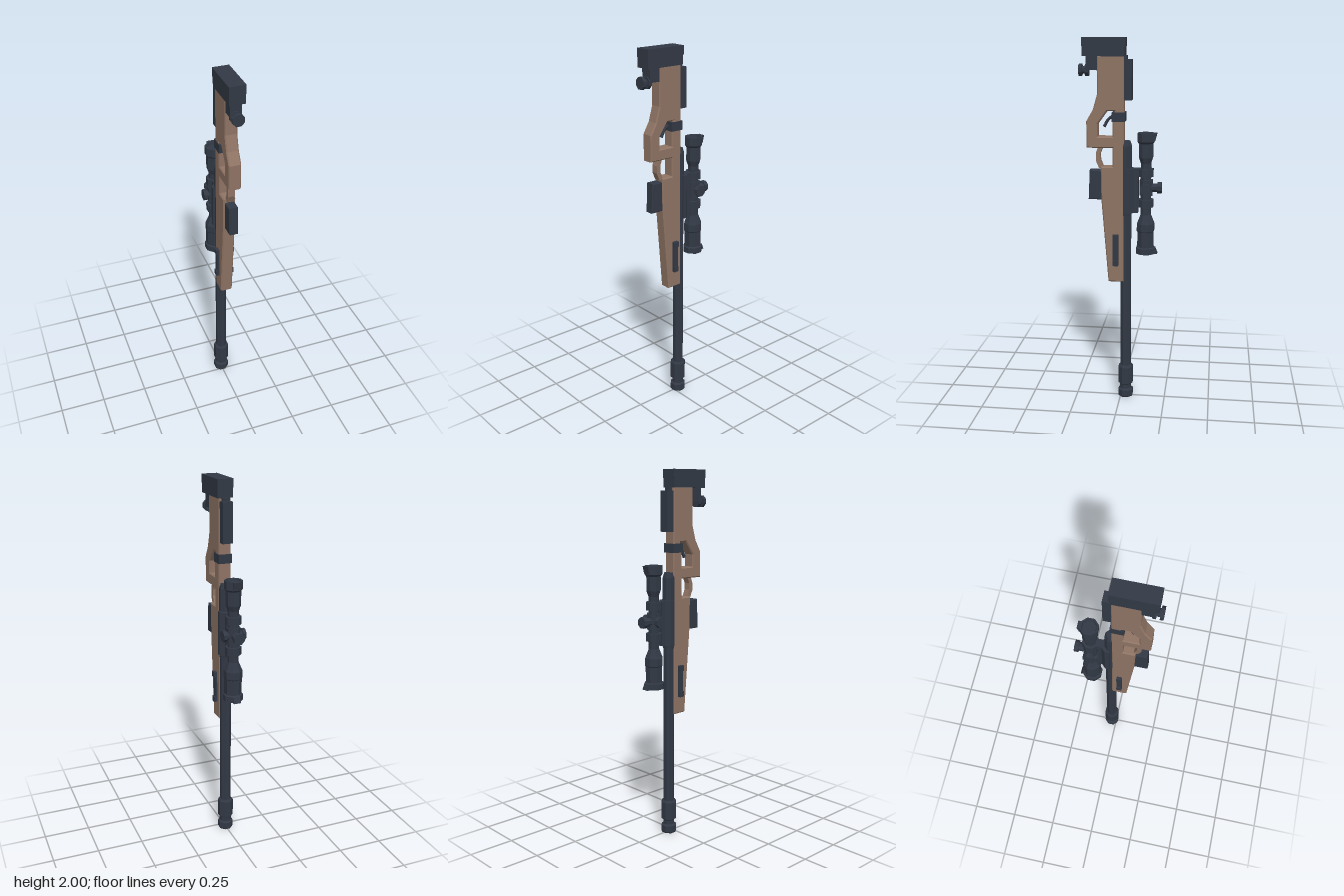
import * as THREE from 'three';

const tan = new THREE.MeshStandardMaterial({ color: 0x8f7464, flatShading: true });
tan.name = 'tan stock';
const dark = new THREE.MeshStandardMaterial({ color: 0x323945, flatShading: true });
dark.name = 'dark metal';

export function createModel() {
  const group = new THREE.Group();

  const add = (name, geo, mat = dark) => {
    const mesh = new THREE.Mesh(geo, mat);
    mesh.name = name;
    group.add(mesh);
    return mesh;
  };
  // Box given by half width and its y and z ranges
  const box = (name, hw, y0, y1, z0, z1, mat = dark, x = 0) => {
    const m = add(name, new THREE.BoxGeometry(hw * 2, y1 - y0, z1 - z0), mat);
    m.position.set(x, (y0 + y1) / 2, (z0 + z1) / 2);
    return m;
  };
  // Eight-sided turned part along y; profile is [radius to flat, y] going up
  const turned = (name, profile, z) => {
    const k = 1 / Math.cos(Math.PI / 8);
    const pts = profile.map(([r, y]) => new THREE.Vector2(r * k, y));
    add(name, new THREE.LatheGeometry(pts, 8, Math.PI / 8)).position.z = z;
  };
  // Side profile of [z, y] points extruded across x, with bevelled rims
  const slab = (name, outline, hw, bevel, mat, holes = []) => {
    const toPts = (list) => list.map(([z, y]) => new THREE.Vector2(z, y));
    const shape = new THREE.Shape(toPts(outline));
    holes.forEach((h) => shape.holes.push(new THREE.Path(toPts(h))));
    const geo = new THREE.ExtrudeGeometry(shape, {
      depth: 2 * (hw - bevel), bevelEnabled: bevel > 0, bevelThickness: bevel,
      bevelSize: bevel, bevelOffset: -bevel, bevelSegments: 1,
    });
    geo.translate(0, 0, -(hw - bevel)).rotateY(-Math.PI / 2);
    return add(name, geo, mat);
  };

  // Stock with thumb hole
  slab('stock', [
    [-0.02, 0.69], [0.065, 0.69], [0.102, 1.15], [0.105, 1.33], [0.04, 1.33], [0.04, 1.43],
    [0.18, 1.43], [0.18, 1.57], [0.145, 1.63], [0.122, 1.71], [0.122, 1.91], [-0.02, 1.91],
  ], 0.033, 0.006, tan, [
    [[0.04, 1.49], [0.12, 1.49], [0.12, 1.555], [0.07, 1.625], [0.03, 1.625], [0.04, 1.57]],
  ]);

  // Curved guard loop
  slab('guard', [
    [0.09, 1.32], [0.115, 1.32], [0.132, 1.36], [0.132, 1.4], [0.118, 1.44],
    [0.092, 1.44], [0.108, 1.4], [0.108, 1.365],
  ], 0.018, 0, tan);

  // Band round the wrist and the curved lever below it
  box('wristBand', 0.036, 1.57, 1.618, -0.026, 0.045);
  const leverPath = new THREE.CatmullRomCurve3([
    new THREE.Vector3(0, 1.6, 0.035), new THREE.Vector3(0, 1.58, 0.065), new THREE.Vector3(0, 1.54, 0.088),
  ]);
  add('lever', new THREE.TubeGeometry(leverPath, 6, 0.009, 6));

  // Butt, its lower block and the adjusting knob
  box('buttPad', 0.043, 1.955, 2, -0.028, 0.2);
  box('buttPlate', 0.041, 1.905, 1.957, -0.024, 0.199);
  box('buttBlock', 0.03, 1.835, 1.907, 0.12, 0.18);
  for (const [r, z0, z1] of [[0.033, 0.168, 0.186], [0.02, 0.18, 0.208], [0.033, 0.203, 0.22]]) {
    const geo = new THREE.CylinderGeometry(r, r, z1 - z0, 8, 1, false, Math.PI / 8).rotateX(Math.PI / 2);
    add('buttKnob', geo).position.set(0, 1.834, (z0 + z1) / 2);
  }
  // Cheek rest
  box('cheekRest', 0.028, 1.68, 1.89, -0.06, -0.018);
  box('cheekPost', 0.02, 1.87, 1.91, -0.035, 0);

  // Magazine
  slab('magazine', [[0.09, 1.15], [0.172, 1.15], [0.165, 1.31], [0.09, 1.31]], 0.025, 0.004, dark);

  // Side panels on the fore-end: frame with two raised ends
  for (const s of [-1, 1]) {
    box('sidePanel', 0.006, 0.785, 0.96, 0.01, 0.04, dark, s * 0.037);
    for (const y of [0.785, 0.93]) box('sidePanelEnd', 0.008, y, y + 0.03, 0.01, 0.04, dark, s * 0.043);
  }

  // Barrel, muzzle and receiver
  turned('barrel', [[0, 0.17], [0.028, 0.17], [0.028, 1.12], [0, 1.12]], -0.028);
  turned('muzzle', [
    [0, 0.02], [0.018, 0.02], [0.022, 0], [0.036, 0], [0.04, 0.008], [0.04, 0.042], [0.03, 0.05],
    [0.03, 0.075], [0.04, 0.083], [0.04, 0.18], [0.034, 0.19], [0, 0.19],
  ], -0.028);
  turned('receiver', [[0, 1.06], [0.03, 1.06], [0.032, 1.08], [0.032, 1.44], [0.024, 1.467], [0, 1.467]], -0.026);

  // Scope mount: tapered base with two rings
  const base = new THREE.Shape([
    [-0.043, 0.03], [0.043, 0.03], [0.043, 0.052], [0.022, 0.073], [0.022, 0.095], [-0.022, 0.095],
    [-0.022, 0.073], [-0.043, 0.052],
  ].map(([x, y]) => new THREE.Vector2(x, y)));
  const baseGeo = new THREE.ExtrudeGeometry(base, { depth: 0.24, bevelEnabled: false }).rotateX(-Math.PI / 2);
  add('mountBase', baseGeo).position.y = 1.08;
  for (const y of [1.112, 1.278]) {
    turned('mountRing', [[0, y], [0.04, y], [0.04, y + 0.042], [0, y + 0.042]], -0.135);
    box('mountNeck', 0.022, y, y + 0.042, -0.11, -0.05);
  }

  // Scope body with recessed lenses at both ends
  turned('scope', [
    [0, 0.87], [0.036, 0.87], [0.04, 0.853], [0.05, 0.853], [0.05, 0.885], [0.043, 0.89], [0.043, 0.975],
    [0.046, 0.98], [0.046, 1.02], [0.04, 1.035], [0.027, 1.07], [0.027, 1.35], [0.037, 1.38], [0.037, 1.455],
    [0.045, 1.465], [0.045, 1.51], [0.037, 1.51], [0.034, 1.495], [0, 1.495],
  ], -0.135);
  // Small lips on the rear rims
  slab('frontLip', [[-0.18, 0.853], [-0.18, 0.885], [-0.187, 0.885], [-0.2, 0.853]], 0.02, 0, dark);
  slab('rearLip', [[-0.175, 1.47], [-0.175, 1.51], [-0.193, 1.51], [-0.183, 1.47]], 0.02, 0, dark);

  // Turrets: one to the back and one to each side
  turned('turretBlock', [[0, 1.175], [0.034, 1.175], [0.034, 1.26], [0, 1.26]], -0.137);
  const turret = (dir) => {
    for (const [r, a, b] of [[0.023, 0.02, 0.064], [0.031, 0.06, 0.083]]) {
      const k = dir === 0 ? 1 : 0.75;
      const geo = new THREE.CylinderGeometry(r, r, (b - a) * k, 8, 1, false, Math.PI / 8);
      if (dir === 0) geo.rotateX(Math.PI / 2);
      else geo.rotateZ(Math.PI / 2);
      const d = ((a + b) / 2) * k;
      add('turret', geo).position.set(dir * d, 1.217, dir === 0 ? -0.137 - d : -0.137);
    }
  };
  [-1, 0, 1].forEach(turret);

  return group;
}
